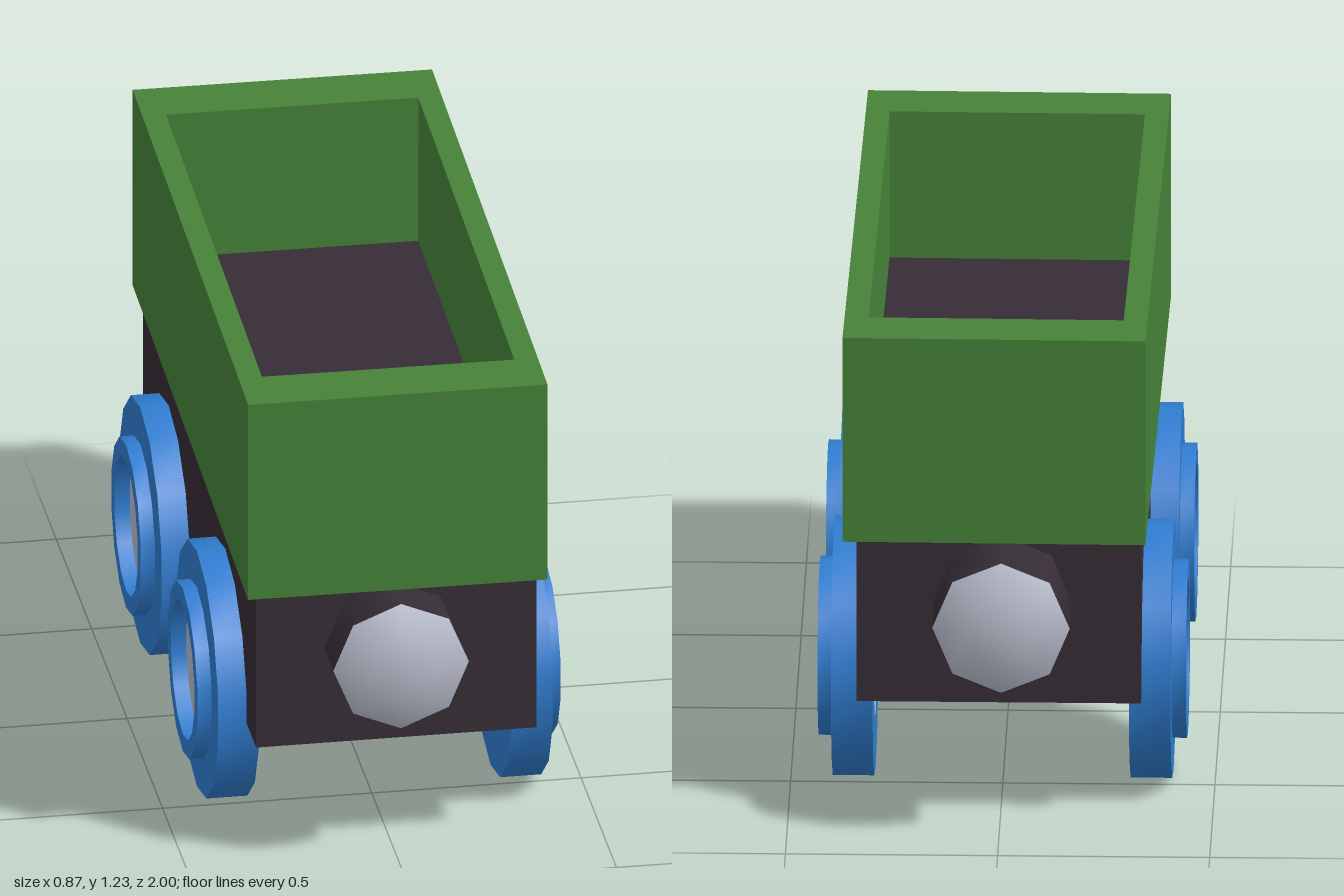
import * as THREE from 'three';
import { toCreasedNormals } from 'three/addons/utils/BufferGeometryUtils.js';

const material = (name, color) => {
  const m = new THREE.MeshStandardMaterial({ color });
  m.name = name;
  return m;
};

const part = (name, geometry, mat) => {
  const mesh = new THREE.Mesh(geometry, mat);
  mesh.name = name;
  return mesh;
};

const rectangle = (Path, hx, hy) => new Path([
  [-hx, -hy], [hx, -hy], [hx, hy], [-hx, hy],
].map(([x, y]) => new THREE.Vector2(x, y)));

const lathe = (points, sides) =>
  new THREE.LatheGeometry(points.map(([r, h]) => new THREE.Vector2(r, h)), sides);

export function createModel() {
  const green = material('green paint', 0x468239);
  const blue = material('blue paint', 0x2f7dd1);
  const dark = material('dark wood', 0x362d36);
  const grey = material('grey metal', 0xb8bccb);

  const model = new THREE.Group();
  model.name = 'toyWagon';

  // Chassis block; its top is the floor of the open box
  const chassis = part('chassis', new THREE.BoxGeometry(0.67, 0.56, 1.595), dark);
  chassis.position.set(0.003, 0.58, 0.0325);
  model.add(chassis);

  // Open box, sitting very slightly askew
  const outline = rectangle(THREE.Shape, 0.357, 0.866);
  outline.holes.push(rectangle(THREE.Path, 0.301, 0.72));
  const boxGeometry = new THREE.ExtrudeGeometry(outline, { depth: 0.51, bevelEnabled: false });
  boxGeometry.rotateX(-Math.PI / 2);
  const openBox = part('openBox', boxGeometry, green);
  openBox.position.set(0.004, 0.72, 0.0265);
  openBox.rotation.set(0.006, -0.01, 0);
  model.add(openBox);

  // Buffers: dark stubs with shallow domed metal ends
  const stubGeometry = new THREE.CylinderGeometry(0.162, 0.162, 0.255, 8);
  stubGeometry.translate(0, 0.8275, 0).rotateX(Math.PI / 2);
  const domeGeometry = lathe([[0.162, 0.955], [0.08, 1], [0, 1]], 8);
  domeGeometry.rotateX(Math.PI / 2);
  for (const [name, y, turn] of [['frontBuffer', 0.545, 0], ['backBuffer', 0.555, Math.PI]]) {
    const buffer = new THREE.Group();
    buffer.name = name;
    buffer.add(part('bufferStub', stubGeometry, dark), part('bufferDome', domeGeometry, grey));
    buffer.position.set(-0.007, y, 0);
    buffer.rotation.y = turn;
    model.add(buffer);
  }

  // Wheels: stepped blue ring around a recessed grey hub
  let ringGeometry = lathe([
    [0.168, 0.302], [0.307, 0.302], [0.307, 0.4], [0.212, 0.4],
    [0.212, 0.434], [0.168, 0.434], [0.168, 0.302],
  ], 14);
  ringGeometry.rotateY(Math.PI / 2).rotateZ(-Math.PI / 2);
  ringGeometry = toCreasedNormals(ringGeometry, Math.PI / 4);
  const hubGeometry = new THREE.CylinderGeometry(0.168, 0.168, 0.095, 14);
  hubGeometry.translate(0, 0.3495, 0).rotateY(Math.PI / 2).rotateZ(-Math.PI / 2);
  for (const [end, z] of [['front', 0.395], ['back', -0.405]]) {
    for (const [side, turn] of [['Left', 0], ['Right', Math.PI]]) {
      const wheel = new THREE.Group();
      wheel.name = `${end}${side}Wheel`;
      wheel.add(part('wheelRing', ringGeometry, blue), part('wheelHub', hubGeometry, grey));
      wheel.position.set(0, 0.308, z);
      wheel.rotation.y = turn;
      model.add(wheel);
    }
  }

  return model;
}
